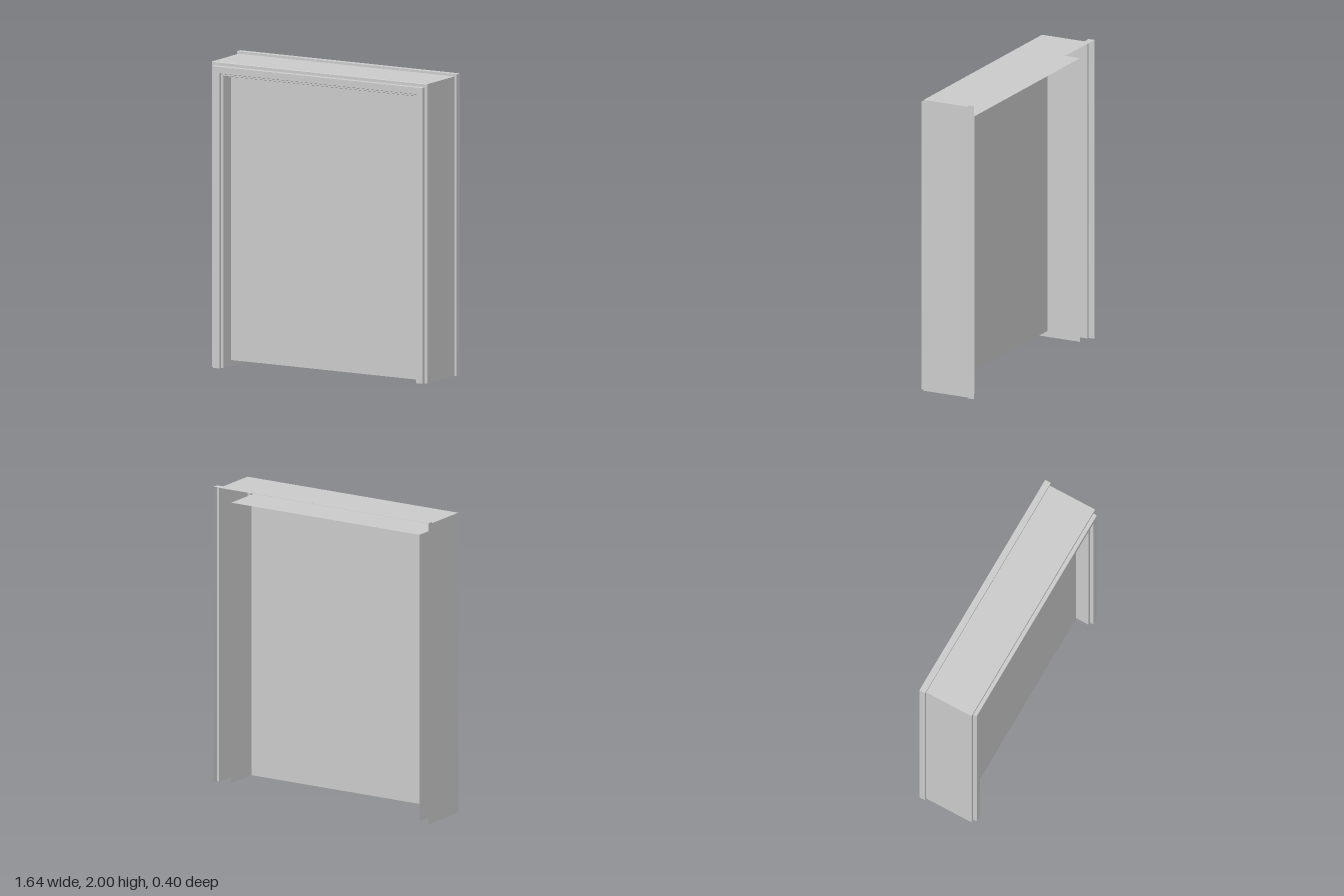
import * as THREE from 'three';

const HALF = 0.822, TOP = 2, LEFT_FOOT = 0, RIGHT_FOOT = 0.04;

// Folded sheet section: [inset from the outer edge, z], from back flange over the front to the liner
const section = [
  [0, -0.2], [0, -0.158],               // back flange
  [0.015, -0.158], [0.015, 0.172],      // outer jamb face
  [0.018, 0.175], [0.037, 0.175],       // outer rebate
  [0.037, 0.198], [0.039, 0.2],         // raised front moulding
  [0.083, 0.2], [0.085, 0.198],
  [0.085, 0.175], [0.1, 0.175],         // inner rebate
  [0.102, 0.172], [0.102, -0.15],       // liner
];

// Mitred path corners for a given inset
const corners = (o) => [
  [-HALF + o, LEFT_FOOT], [-HALF + o, TOP - o],
  [HALF - o, TOP - o], [HALF - o, RIGHT_FOOT],
];

export function createModel() {
  const group = new THREE.Group();
  const material = new THREE.MeshStandardMaterial({
    color: 0xcccccc, flatShading: true, side: THREE.DoubleSide,
  });

  // Sweep the section along each side of the frame
  ['rightJamb', 'headJamb', 'leftJamb'].forEach((name, side) => {
    const positions = [];
    for (let i = 0; i < section.length - 1; i++) {
      const [[o0, z0], [o1, z1]] = [section[i], section[i + 1]];
      const a = [...corners(o0)[side], z0], b = [...corners(o1)[side], z1];
      const c = [...corners(o1)[side + 1], z1], d = [...corners(o0)[side + 1], z0];
      positions.push(...a, ...b, ...c, ...a, ...c, ...d);
    }
    const geometry = new THREE.BufferGeometry();
    geometry.setAttribute('position', new THREE.Float32BufferAttribute(positions, 3));
    geometry.computeVertexNormals();
    const mesh = new THREE.Mesh(geometry, material);
    mesh.name = name;
    group.add(mesh);
  });

  // Thin panel filling the opening
  const inset = section[section.length - 1][0];
  const height = TOP - inset - RIGHT_FOOT;
  const panel = new THREE.Mesh(new THREE.PlaneGeometry(2 * (HALF - inset), height), material);
  panel.name = 'panel';
  panel.position.set(0, RIGHT_FOOT + height / 2, 0.085);
  group.add(panel);

  return group;
}
